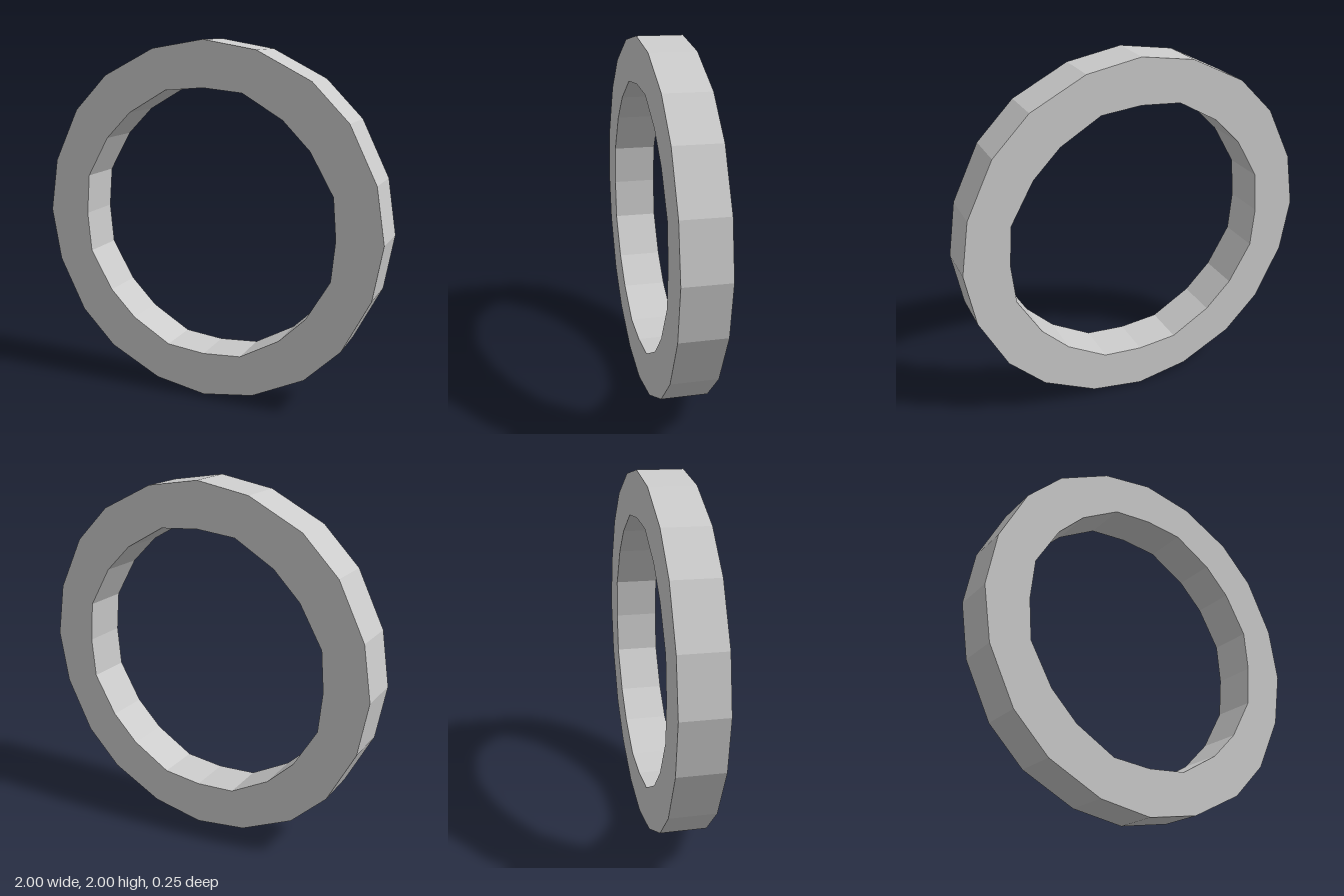
import * as THREE from 'three';

// One quarter of each outline, counter-clockwise from +x
const OUTER = [[1, 0], [0.95, 0.3], [0.8, 0.6], [0.6, 0.8], [0.3, 0.95]];
const INNER = [[0.75, 0], [0.73, 0.225], [0.6, 0.45], [0.45, 0.6], [0.225, 0.73]];
const DEPTH = 0.25;

// Repeat a quarter outline four times around the centre
function fullOutline(quarter) {
  const points = [];
  for (let q = 0; q < 4; q++) {
    for (const [x, y] of quarter) {
      points.push(new THREE.Vector2(x, y).rotateAround(new THREE.Vector2(), q * Math.PI / 2));
    }
  }
  return points;
}

export function createModel() {
  const group = new THREE.Group();
  group.name = 'ringModel';

  // Flat-sided ring with a faceted hole
  const shape = new THREE.Shape(fullOutline(OUTER));
  shape.holes.push(new THREE.Path(fullOutline(INNER).reverse()));
  const geometry = new THREE.ExtrudeGeometry(shape, { depth: DEPTH, bevelEnabled: false });
  geometry.translate(0, 1, -DEPTH / 2);

  const material = new THREE.MeshStandardMaterial({ color: 0xcccccc, flatShading: true });
  const ring = new THREE.Mesh(geometry, material);
  ring.name = 'ring';
  group.add(ring);
  return group;
}
